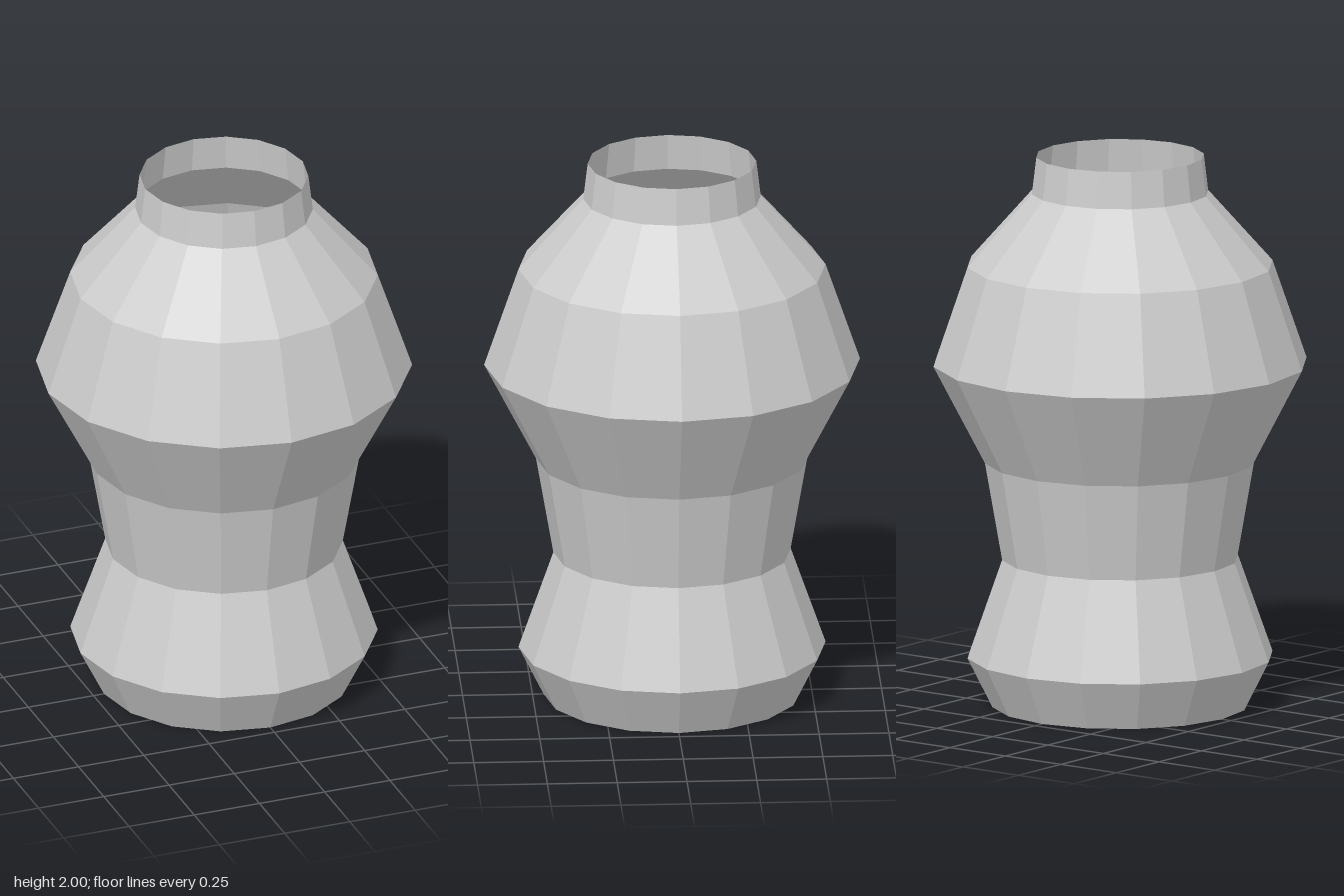
import * as THREE from 'three';

export function createModel() {
  const model = new THREE.Group();
  model.name = 'vase';
  const SIDES = 16;

  const clay = new THREE.MeshStandardMaterial({ color: 0xcccccc });
  clay.name = 'light grey clay';
  clay.flatShading = true;
  clay.side = THREE.DoubleSide;

  // Thin open wall: foot, waist, shoulder and neck, from the bottom up
  const profile = [
    [0.46, 0], [0.55, 0.18], [0.425, 0.535], [0.487, 0.89],
    [0.673, 1.247], [0.55, 1.605], [0.318, 1.867], [0.302, 2],
  ].map(([r, y]) => new THREE.Vector2(r, y));
  const wall = new THREE.Mesh(new THREE.LatheGeometry(profile, SIDES), clay);
  wall.name = 'wall';

  // Flat floor closing the foot, also seen through the open mouth
  const floor = new THREE.Mesh(
    new THREE.CircleGeometry(profile[0].x, SIDES).rotateX(Math.PI / 2), clay);
  floor.name = 'floor';

  model.add(wall, floor);
  return model;
}
